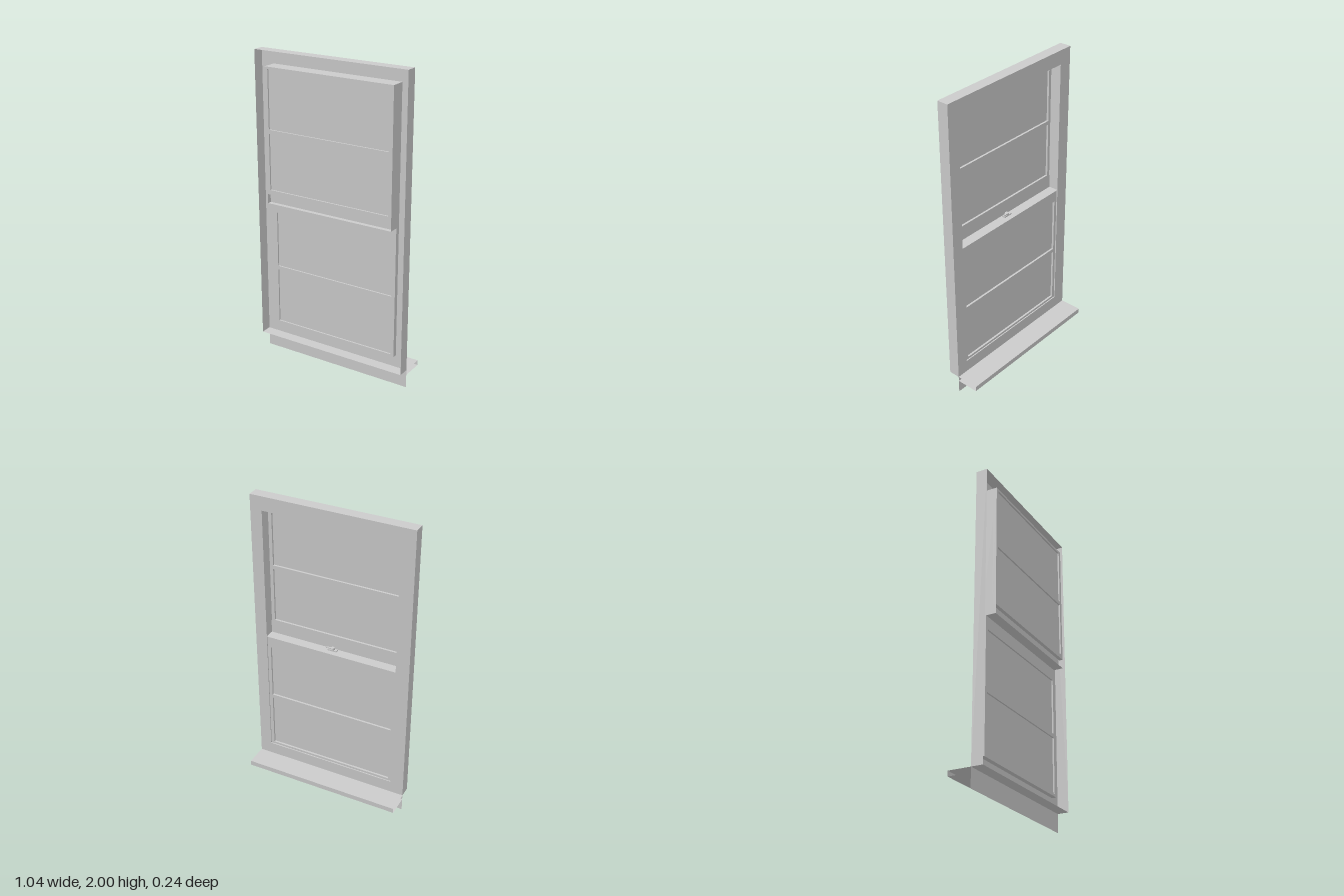
import * as THREE from 'three';

const mat = new THREE.MeshStandardMaterial({ color: 0xcccccc, side: THREE.DoubleSide, flatShading: true });

function add(parent, name, geometry, x = 0, y = 0, z = 0) {
  const mesh = new THREE.Mesh(geometry, mat);
  mesh.name = name;
  mesh.position.set(x, y, z);
  parent.add(mesh);
  return mesh;
}

// Rectangle outline as a list of corners
const rect = (x0, x1, y0, y1) => [[x0, y0], [x1, y0], [x1, y1], [x0, y1]].map(p => new THREE.Vector2(...p));

function panelShape(outer, holes) {
  const shape = new THREE.Shape(rect(...outer));
  for (const h of holes) shape.holes.push(new THREE.Path(rect(...h).reverse()));
  return shape;
}

// Open strips: flat (facing up) and upright (facing sideways)
function flatStrip(parent, name, x0, x1, y, z0, z1) {
  add(parent, name, new THREE.PlaneGeometry(x1 - x0, z1 - z0).rotateX(-Math.PI / 2), (x0 + x1) / 2, y, (z0 + z1) / 2);
}
function sideStrip(parent, name, x, y0, y1, z0, z1) {
  const turn = Math.sign(x) * Math.PI / 2;
  add(parent, name, new THREE.PlaneGeometry(z1 - z0, y1 - y0).rotateY(turn), x, (y0 + y1) / 2, (z0 + z1) / 2);
}

const W = 0.522, L = -0.435, R = 0.445;  // frame half width, opening sides
const BACK = 0.025, FRONT = 0.098;       // frame depth
const PANE_L = -0.415, PANE_R = 0.423;

// Sash: face panel with two openings, glass and reveal walls back to the frame
function makeSash(name, y0, y1, faceBottom, panes, zBack, zFront) {
  const sash = new THREE.Group();
  sash.name = name;
  const holes = panes.map(([a, b]) => [PANE_L, PANE_R, a, b]);
  add(sash, 'sashFrame', new THREE.ExtrudeGeometry(panelShape([L, R, faceBottom, y1], holes),
    { depth: zFront - zBack, bevelEnabled: false }), 0, 0, zBack);
  for (const [a, b] of panes) {
    add(sash, 'glassPane', new THREE.PlaneGeometry(PANE_R - PANE_L, b - a),
      (PANE_L + PANE_R) / 2, (a + b) / 2, zFront - 0.01);
  }
  for (const x of [L, R]) sideStrip(sash, 'sashSide', x, y0, y1, BACK, zFront);
  for (const y of [y0, y1]) flatStrip(sash, 'sashEnd', L, R, y, BACK, zFront);
  return sash;
}

export function createModel() {
  const group = new THREE.Group();

  // Frame: back plate with the opening, reaching down as the apron
  const frame = new THREE.Group();
  frame.name = 'frame';
  add(frame, 'backPlate', new THREE.ShapeGeometry(panelShape([-W, W, 0, 2], [[L, R, 0.2, 1.91]])), 0, 0, BACK);
  for (const x of [-W, W]) sideStrip(frame, 'frameSide', x, 0.12, 2, BACK, FRONT);
  flatStrip(frame, 'frameTop', -W, W, 2, BACK, FRONT);
  flatStrip(frame, 'frameBottom', -W, W, 0.12, BACK, FRONT);
  group.add(frame);

  // Sill: open-ended shelf behind the frame
  const sill = new THREE.Group();
  sill.name = 'sill';
  flatStrip(sill, 'sillTop', -W, W, 0.12, -0.12, BACK);
  flatStrip(sill, 'sillUnderside', -W, W, 0.087, -0.12, BACK);
  add(sill, 'sillEdge', new THREE.PlaneGeometry(2 * W, 0.033).rotateY(Math.PI), 0, 0.1035, -0.12);
  group.add(sill);

  // Upper sash stands forward, lower sash sits close to the frame
  const upper = makeSash('upperSash', 1.05, 1.91, 1.11, [[1.14, 1.5], [1.525, 1.895]], 0.095, 0.118);
  add(upper, 'recessedRail', new THREE.PlaneGeometry(R - L, 0.085), (L + R) / 2, 1.0925, 0.09);
  group.add(upper);
  group.add(makeSash('lowerSash', 0.2, 1.05, 0.2, [[0.215, 0.58], [0.605, 0.97]], 0.032, 0.055));

  // Catch on the meeting rail
  const catchGroup = new THREE.Group();
  catchGroup.name = 'sashCatch';
  add(catchGroup, 'catchBase', new THREE.BoxGeometry(0.06, 0.008, 0.022), 0.005, 1.054, 0.07);
  add(catchGroup, 'catchCam', new THREE.CylinderGeometry(0.012, 0.014, 0.012, 12), 0.005, 1.064, 0.07);
  add(catchGroup, 'catchLever', new THREE.BoxGeometry(0.04, 0.006, 0.01), 0.025, 1.067, 0.064);
  group.add(catchGroup);

  return group;
}
